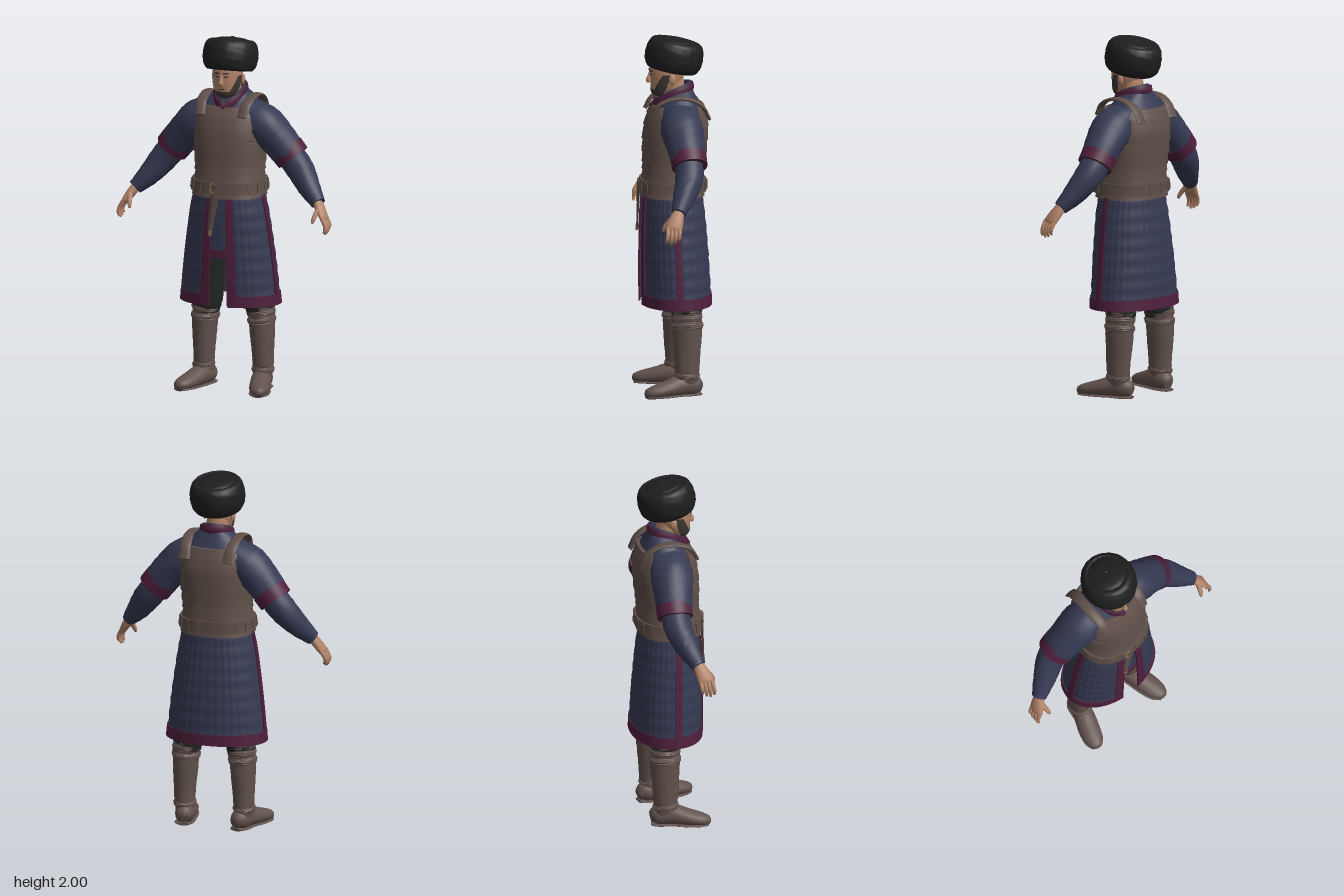
import * as THREE from 'three';
import { toCreasedNormals } from 'three/addons/utils/BufferGeometryUtils.js';

const mat = (name, color, side = THREE.DoubleSide) => Object.assign(new THREE.MeshStandardMaterial({ color, side }), { name });
const M = {
  cloth: mat('navy cloth', 0x363a53), trim: mat('maroon trim', 0x4f1f3c), leather: mat('brown leather', 0x5e4e48),
  boot: mat('boot leather', 0x62524d), skin: mat('skin', 0xb38469), fur: mat('black fur', 0x1e1e1e),
  hair: mat('beard', 0x3f3936), trousers: mat('dark trousers', 0x222623), metal: mat('buckle bronze', 0x8a6a50),
};

// Smooth interpolation through rows whose first number is the parameter
function spline(rows) {
  const n = rows[0].length - 1;
  const f = new THREE.CubicInterpolant(rows.map(r => r[0]), rows.flatMap(r => r.slice(1)), n, new Array(n));
  return t => [...f.evaluate(t)];
}

function gridGeometry(pts, rows, cols, crease) {
  const idx = [];
  for (let i = 0; i < rows - 1; i++) for (let j = 0; j < cols - 1; j++) {
    const a = i * cols + j, d = a + cols;
    idx.push(a, a + 1, d + 1, a, d + 1, d);
  }
  const g = new THREE.BufferGeometry();
  g.setAttribute('position', new THREE.Float32BufferAttribute(pts, 3));
  g.setIndex(idx);
  return toCreasedNormals(g, crease);
}

// Oval form from rows [y, half width, front z, back z]; angle 0 is the front
function form(rows, p) {
  const at = spline(rows), pw = v => Math.sign(v) * Math.abs(v) ** p;
  return (t, y, off) => {
    const [rx, zf, zb] = at(y);
    return [(rx + off) * pw(Math.sin(t)), y, (zf + zb) / 2 + ((zf - zb) / 2 + off) * pw(Math.cos(t))];
  };
}

// Panel lying on a form, with its rim turned in by `thick`
function panel(f, range, y0, y1, off, thick = 0, nu = 32, nv = 6) {
  const rim = n => { const a = Array.from({ length: n + 1 }, (_, i) => i / n); return thick ? [0, ...a, 1] : a; };
  const U = rim(nu), V = rim(nv), pts = [];
  V.forEach((v, i) => U.forEach((u, j) => {
    const y = y0 + (y1 - y0) * v, [a, b] = typeof range === 'function' ? range(y) : range, t = a + (b - a) * u;
    const edge = thick && (i === 0 || j === 0 || i === V.length - 1 || j === U.length - 1);
    const o = typeof off === 'function' ? off(t, y, v) : off;
    pts.push(...f(t, y, edge ? o - thick : o));
  }));
  return gridGeometry(pts, V.length, U.length, 0.7);
}

// Closed limb through rows [x, y, z, r across, r along ref]
function sweep(rows, ref, bump = 0, seg = 20, sub = 5) {
  const at = spline(rows.map((r, i) => [i, r[0], r[1], r[2], r[3], r[4] ?? r[3]]));
  const n = (rows.length - 1) * sub, P = s => new THREE.Vector3(...at(s).slice(0, 3)), pts = [];
  for (let k = -1; k <= n + 1; k++) {
    const s = Math.min(Math.max(k / sub, 0), rows.length - 1), c = P(s), [, , , ra, rb] = at(s);
    const t = P(Math.min(s + 0.05, rows.length - 1)).sub(P(Math.max(s - 0.05, 0))).normalize();
    const v = new THREE.Vector3(...ref).addScaledVector(t, -t.dot(new THREE.Vector3(...ref))).normalize();
    const u = v.clone().cross(t), cap = k < 0 || k > n ? 0 : 1;
    for (let j = 0; j <= seg; j++) {
      const a = (j % seg) / seg * Math.PI * 2, m = cap * (1 + bump * Math.sin(a * 3 + s * 5) * Math.cos(a * 2 - s * 7));
      const q = c.clone().addScaledVector(u, Math.cos(a) * ra * m).addScaledVector(v, Math.sin(a) * rb * m);
      pts.push(q.x, Math.max(q.y, 0), q.z);
    }
  }
  return gridGeometry(pts, n + 3, seg + 1, 0.95);
}

const X = [1, 0, 0], Y = [0, 1, 0], Z = [0, 0, 1], PI = Math.PI;

export function createModel() {
  const root = new THREE.Group();
  root.name = 'armouredMan';
  const add = (name, geo, material) => {
    const m = new THREE.Mesh(geo, material);
    m.name = name;
    root.add(m);
    return m;
  };
  const flip = (rows, s) => rows.map(([x, ...r]) => [x * s, ...r]);

  // Torso in quilted cloth
  const body = form([[1.08, .19, .175, -.145], [1.24, .175, .16, -.145], [1.4, .185, .16, -.162], [1.5, .185, .15, -.167],
    [1.6, .172, .115, -.145], [1.65, .14, .075, -.12], [1.7, .08, .04, -.1]], .85);
  add('torso', panel(body, [-PI, PI], 1.08, 1.7, 0, 0, 64, 24), M.cloth);

  // Layered vest, front and back
  const half = spline([[1.1, 1.58], [1.41, 1.58], [1.43, 1.2], [1.5, .98], [1.57, .86], [1.62, .72]]);
  const bands = [1.11, 1.155, 1.2, 1.25, 1.29, 1.35, 1.42, 1.5, 1.565, 1.61];
  for (const c of [0, PI]) for (let i = 0; i < bands.length - 1; i++) {
    const range = y => { const h = y <= 1.42 ? 1.58 : half(y)[0] + (c ? .12 : 0); return [c - h, c + h]; };
    add(c ? 'vestBackBand' : 'vestFrontBand', panel(body, range, bands[i], bands[i + 1] + .004, (t, y, v) => .02 - .007 * v, .014), M.leather);
  }
  for (const c of [0, PI]) add('chestEdge', panel(body, [c - .62, c + .62], 1.592, 1.616, .022, .02), M.leather);

  // Belt, plates, buckle and hanging strap
  add('belt', panel(body, [-PI, PI], 1.135, 1.2, .03, .012, 64, 4), M.leather);
  for (let i = 0; i < 18; i++) {
    const t = (i + .5) / 18 * PI * 2;
    add('beltPlate', panel(body, [t - .06, t + .06], 1.142, 1.193, .035, .007, 4, 2), M.leather);
  }
  add('buckle', panel(body, [-.15, -.04], 1.14, 1.195, .039, .006, 4, 2), M.metal);
  add('hangingStrap', sweep([[-.01, 1.19, .202, .024, .006], [-.02, 1.09, .2, .024, .006], [-.035, 1, .201, .018, .006],
    [-.045, .91, .201, .013, .006]], Z, 0, 10), M.leather);
  add('strapTip', sweep([[-.043, .93, .203, .013, .007], [-.046, .9, .203, .008, .007]], Z, 0, 10), M.metal);

  // Long coat skirt with bordered edges
  const skirt = form([[.5, .284, .188, -.198], [.7, .264, .19, -.19], [.9, .238, .188, -.175], [1.05, .214, .183, -.16], [1.15, .19, .17, -.148]], .95);
  const quilt = (t, y) => .003 * Math.sin(t * 18 + y * 40) * Math.sin(t * 18 - y * 40);
  add('coatSkirt', panel(skirt, [.17, 2 * PI - .17], .5, 1.15, quilt, 0, 160, 44), M.cloth);
  add('coatHem', panel(skirt, [.17, 2 * PI - .17], .498, .56, .007, .007, 90, 4), M.trim);
  for (const s of [1, -1]) {
    add('frontBorder', panel(skirt, s > 0 ? [.17, .36] : [-.36, -.17], .5, 1.12, .008, .008, 5, 20), M.trim);
    add('sideBorder', panel(skirt, s > 0 ? [1.42, 1.6] : [-1.6, -1.42], .5, 1.12, .008, .008, 5, 20), M.trim);
  }
  add('underRobe', panel(skirt, [-.45, .45], .77, 1.14, -.018, 0, 16, 8), M.cloth);
  add('underRobeHem', panel(skirt, [-.45, .45], .77, .815, -.013, .005, 16, 3), M.trim);

  // Collar and neck
  const collar = (w, dy) => [[-.005, 1.6, .125], [.05, 1.64, .09], [.085, 1.68, .015], [.068, 1.705, -.065], [0, 1.715, -.1],
    [-.068, 1.705, -.065], [-.085, 1.68, .015], [-.05, 1.64, .09], [.005, 1.6, .125]].map(([x, y, z]) => [x * w, y + dy, z * w, .009, .026]);
  add('collar', sweep(collar(1, 0), Y, 0, 10), M.trim);
  add('innerCollar', sweep(collar(.85, .006), Y, 0, 10), M.cloth);
  add('neck', sweep([[0, 1.58, -.01, .075], [0, 1.66, 0, .064], [0, 1.78, .015, .062]], Z), M.skin);

  // Head, beard and face
  const head = form([[1.665, .028, .11, .045], [1.68, .048, .122, .02], [1.715, .068, .131, -.015], [1.77, .08, .138, -.05],
    [1.82, .083, .14, -.06], [1.88, .075, .13, -.05]], 1);
  add('head', panel(head, [-PI, PI], 1.665, 1.88, 0, 0, 40, 16), M.skin);
  add('chin', sweep([[0, 1.66, .08, .012], [0, 1.668, .08, .033], [0, 1.685, .078, .046]], Z), M.hair);
  add('beard', panel(head, [-1.55, 1.55], 1.667, 1.705, .006, .008, 30, 4), M.hair);
  for (const s of [1, -1]) {
    const r = (a, b) => s > 0 ? [a, b] : [-b, -a];
    add('sideWhisker', panel(head, y => r(.65 + (y - 1.7) * 6, 1.6), 1.7, 1.79, .004, .006, 8, 8), M.hair);
    add('eye', panel(head, r(.2, .45), 1.786, 1.794, .002, .003, 6, 2), M.hair);
    add('eyebrow', panel(head, r(.14, .52), 1.806, 1.814, .004, .006, 6, 2), M.hair);
    add('ear', new THREE.SphereGeometry(1, 14, 10).scale(.012, .03, .02).translate(s * .083, 1.765, .025), M.skin);
  }
  add('mouth', panel(head, [-.2, .2], 1.716, 1.721, .002, .003, 6, 2), M.hair);
  add('nose', sweep([[0, 1.742, .14, .014, .012], [0, 1.754, .143, .015, .017], [0, 1.775, .139, .009, .012], [0, 1.805, .134, .006, .007]], Z, 0, 12), M.skin);

  // Fur hat tilted back, roughened by a wave rule
  const profile = [[.085, -.02], [.1, -.066], [.128, -.076], [.148, -.05], [.157, -.005], [.152, .05], [.137, .082], [.118, .093],
    [.105, .088], [.09, .097], [.05, .105], [.001, .107]];
  const curve = new THREE.SplineCurve(profile.map(p => new THREE.Vector2(...p)));
  const hatGeo = new THREE.LatheGeometry(curve.getPoints(44), 64), hp = hatGeo.attributes.position;
  for (let i = 0; i < hp.count; i++) {
    const x = hp.getX(i), y = hp.getY(i), z = hp.getZ(i), a = Math.atan2(x, z);
    const k = 1 + .012 * Math.sin(a * 11 + y * 70) * Math.sin(a * 7 - y * 90);
    hp.setXYZ(i, x * k * .97, y, z * k * 1.03);
  }
  const hat = add('furHat', toCreasedNormals(hatGeo, 1), M.fur);
  hat.rotation.x = -.2;
  hat.position.set(0, 1.881, .003);
  add('hatButton', new THREE.SphereGeometry(.012, 12, 8).scale(1, .5, 1).translate(0, 1.983, -.025), M.fur);

  for (const s of [1, -1]) {
    const limb = (name, rows, ref, material, bump, seg) => add(name, sweep(flip(rows, s), ref, bump, seg), material);

    // Shoulder strap
    limb('shoulderStrap', [[.125, 1.57, .147, .01, .03], [.132, 1.635, .105, .01, .03], [.138, 1.668, .02, .01, .03],
      [.14, 1.662, -.07, .01, .03], [.135, 1.62, -.138, .01, .032], [.13, 1.55, -.175, .01, .034]], X, M.leather, 0, 12);

    // Wide upper sleeve with cuff, narrow lower sleeve
    limb('upperSleeve', [[.11, 1.57, -.02, .085, .1], [.19, 1.51, -.012, .11, .118], [.27, 1.435, -.02, .102, .108],
      [.355, 1.335, -.03, .093, .095]], Z, M.cloth, .025, 28);
    limb('sleeveCuff', [[.318, 1.38, -.029, .099, .101], [.34, 1.353, -.03, .098, .1], [.361, 1.327, -.031, .097, .099]], Z, M.trim, 0, 28);
    limb('lowerSleeve', [[.32, 1.37, -.03, .078], [.4, 1.275, -.022, .078], [.475, 1.18, .018, .063], [.546, 1.104, .06, .041]], Z, M.cloth, .03, 24);

    // Hand
    limb('palm', [[.54, 1.11, .058, .026, .03], [.566, 1.072, .075, .025, .04], [.59, 1.035, .09, .019, .044], [.598, 1.018, .095, .013, .038]], Z, M.skin);
    for (let i = 0; i < 4; i++) {
      const z = .06 + i * .022, l = [.85, 1, 1.05, .95][i];
      limb('finger', [[.592, 1.035, z, .012], [.612, 1.035 - .04 * l, z + .004, .011], [.615, 1.035 - .067 * l, z + .008, .01],
        [.607, 1.035 - .088 * l, z + .01, .006]], Z, M.skin, 0, 10);
    }
    limb('thumb', [[.562, 1.08, .095, .017], [.553, 1.05, .123, .014], [.547, 1.025, .14, .012], [.543, 1.005, .147, .007]], Z, M.skin, 0, 10);

    // Trousers
    limb('trouserLeg', [[.158, .42, -.045, .07, .078], [.155, .5, -.042, .086, .088], [.14, .7, -.025, .09, .1],
      [.11, .9, -.01, .095, .11], [.095, 1.08, 0, .09, .11]], Z, M.trousers, .04);

    // Boot
    limb('bootShaft', [[.17, .06, -.055, .05, .056], [.175, .12, -.045, .056, .066], [.175, .2, -.043, .06, .072], [.172, .3, -.045, .067, .08],
      [.169, .39, -.045, .073, .085]], Z, M.boot, .03);
    limb('bootTop', [[.168, .38, -.045, .076, .087], [.167, .4, -.045, .079, .09], [.166, .415, -.045, .073, .082], [.164, .44, -.045, .08, .087],
      [.163, .46, -.044, .075, .082], [.161, .485, -.044, .082, .087]], Z, M.boot, .05);
    limb('ankleFold', [[.175, .1, -.042, .058, .068], [.176, .115, -.042, .063, .073], [.176, .13, -.043, .058, .068]], Z, M.boot, .05);
    limb('foot', [[.152, .045, -.122, .028, .03], [.163, .056, -.085, .052, .056], [.178, .06, -.01, .055, .06], [.203, .047, .07, .058, .047],
      [.224, .036, .14, .053, .036], [.235, .028, .185, .034, .026], [.238, .026, .2, .012, .012]], Y, M.boot, .01);
    limb('sole', [[.155, .008, -.12, .035, .008], [.165, .008, -.08, .055, .008], [.18, .008, 0, .054, .008], [.206, .008, .08, .06, .008],
      [.226, .008, .15, .053, .008], [.236, .008, .19, .028, .008]], Y, M.boot);
  }
  return root;
}
